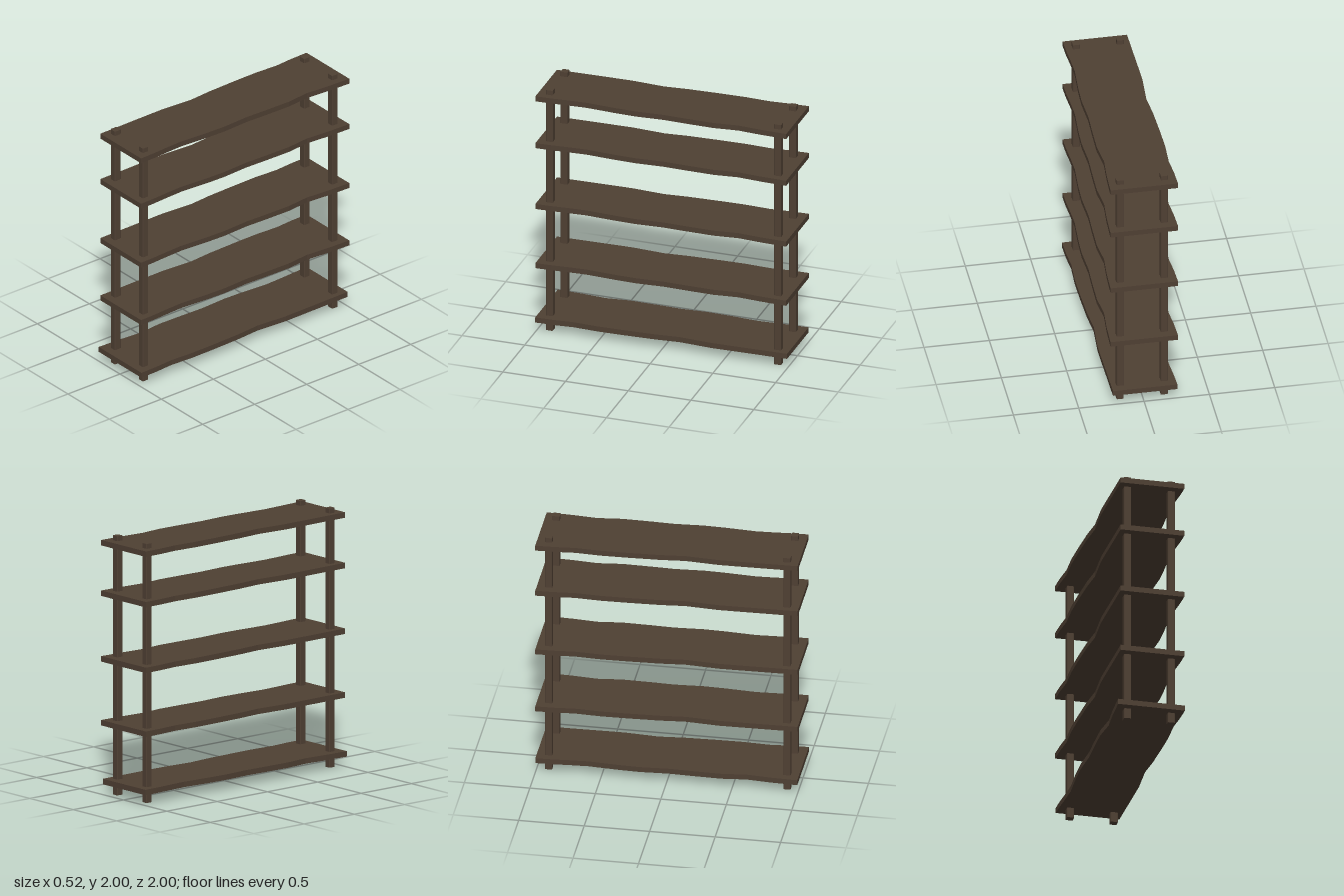
import * as THREE from 'three';

// Shelf edges as [x, z], running back to front on the right and left sides
const edgePlusX = [[0.257, -1], [0.25, -0.8], [0.235, -0.61], [0.255, -0.42], [0.251, -0.2], [0.245, -0.02],
  [0.257, 0.2], [0.252, 0.36], [0.236, 0.6], [0.243, 0.75], [0.252, 0.88], [0.255, 1]];
const edgeMinusX = [[-0.26, -1], [-0.256, -0.85], [-0.244, -0.7], [-0.254, -0.5], [-0.251, -0.3], [-0.243, -0.05],
  [-0.227, 0.14], [-0.245, 0.4], [-0.243, 0.6], [-0.24, 0.8], [-0.238, 1]];

const THICK = 0.042;

// Vertical extrusion of a plan outline given in x and z
function slab(points, height) {
  const shape = new THREE.Shape(points.map(([x, z]) => new THREE.Vector2(x, -z)));
  const geo = new THREE.ExtrudeGeometry(shape, { depth: height, bevelEnabled: false });
  return geo.rotateX(-Math.PI / 2);
}

export function createModel() {
  const model = new THREE.Group();
  model.name = 'shelvingUnit';
  const wood = new THREE.MeshStandardMaterial({ color: 0x4f4033, flatShading: true });
  wood.name = 'darkWood';

  // Live-edge shelves; the lowest plank is turned end for end
  const plank = slab([...edgePlusX, ...[...edgeMinusX].reverse()], THICK);
  [0.08, 0.531, 1.024, 1.531, 1.921].forEach((y, i) => {
    const shelf = new THREE.Mesh(plank, wood);
    shelf.name = `shelf${i + 1}`;
    shelf.position.y = y;
    if (i === 0) shelf.rotation.y = Math.PI;
    model.add(shelf);
  });

  // Square posts with slightly trimmed corners
  const h = 0.0275, c = 0.005;
  const postGeo = slab([[h, -h + c], [h, h - c], [h - c, h], [-h + c, h],
    [-h, h - c], [-h, -h + c], [-h + c, -h], [h - c, -h]], 2);
  for (const x of [-0.167, 0.171]) {
    for (const z of [-0.91, 0.91]) {
      const post = new THREE.Mesh(postGeo, wood);
      post.name = `${z > 0 ? 'front' : 'back'}${x > 0 ? 'Left' : 'Right'}Post`;
      post.position.set(x, 0, z);
      model.add(post);
    }
  }
  return model;
}
